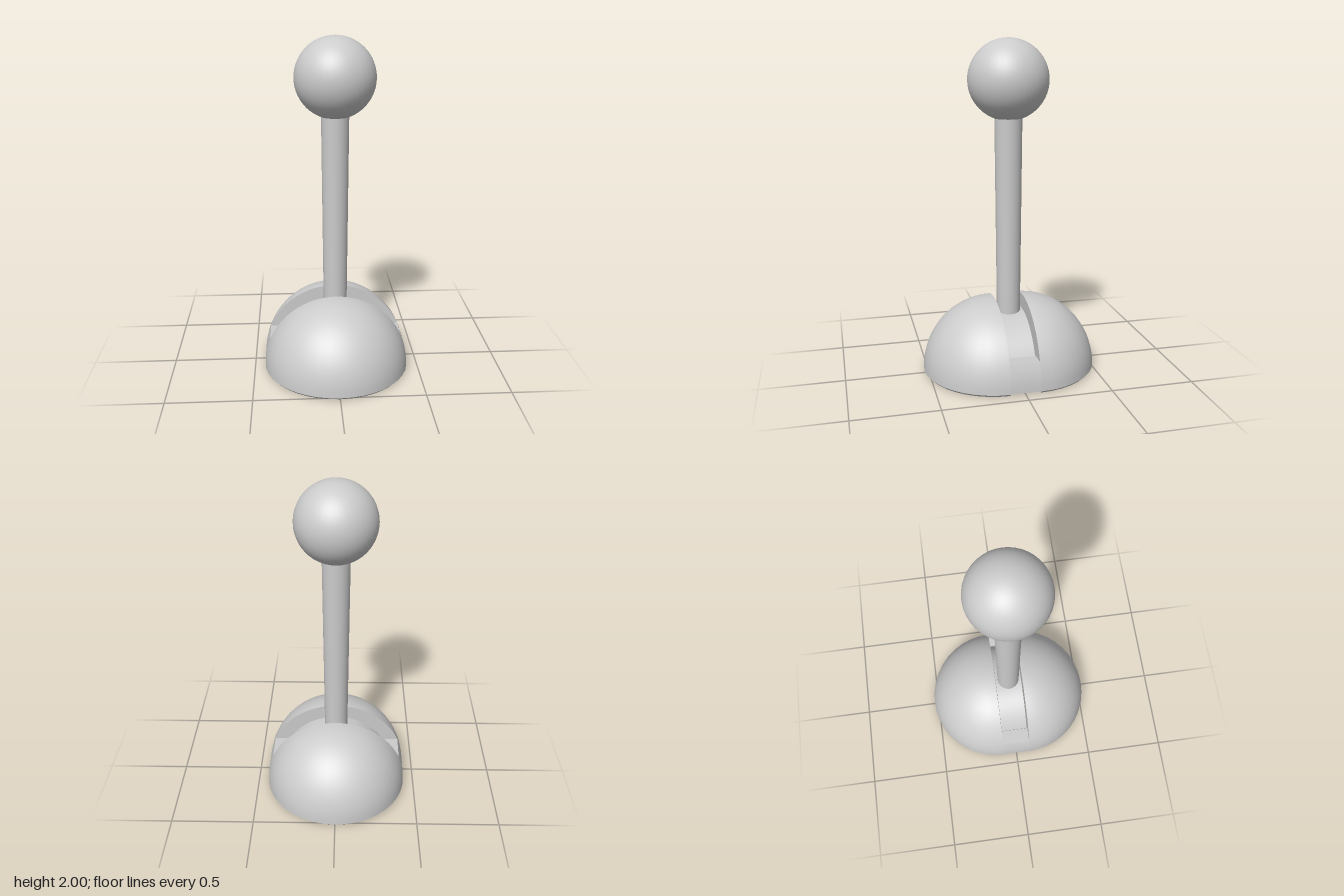
import * as THREE from 'three';
import { toCreasedNormals } from 'three/addons/utils/BufferGeometryUtils.js';

const OUT = 0.437, INN = 0.33, CY = 0.013, GAP = 0.09, SLOT_END = 0.18;

export function createModel() {
  const group = new THREE.Group();
  const mat = new THREE.MeshStandardMaterial({ color: 0xcccccc });
  const matDouble = new THREE.MeshStandardMaterial({ color: 0xcccccc, side: THREE.DoubleSide });

  const add = (name, geometry, parent = group, material = mat) => {
    const mesh = new THREE.Mesh(geometry, material);
    mesh.name = name;
    parent.add(mesh);
    return mesh;
  };

  // Point on an arc around the dome centre
  const onArc = (r, a) => new THREE.Vector2(r * Math.cos(a), CY + r * Math.sin(a));
  const arc = (r, a0, a1, n) =>
    Array.from({ length: n + 1 }, (_, i) => onArc(r, a0 + ((a1 - a0) * i) / n));
  const angleAt = (r, y) => Math.asin((y - CY) / r);
  const extrude = (points, depth) => {
    const g = new THREE.ExtrudeGeometry(new THREE.Shape(points), { depth, bevelEnabled: false });
    g.translate(0, 0, -depth / 2);
    return toCreasedNormals(g, 0.6);
  };

  // Two thick half domes, front and back, with flat walls facing the slot
  const section = [
    ...arc(INN, Math.PI / 2, 0, 16),
    new THREE.Vector2(INN, 0.004),
    new THREE.Vector2(OUT - 0.012, 0),
    ...arc(OUT, 0, Math.PI / 2, 20),
  ];
  section.forEach((p) => { if (p.x < 1e-6) p.x = 0; });
  const domeGeometry = toCreasedNormals(
    new THREE.LatheGeometry(section, 20, -Math.PI / 2, Math.PI), 0.6);
  const wallOutline = [
    ...section,
    ...section.slice(0, -1).reverse().map((p) => new THREE.Vector2(-p.x, p.y)),
  ];
  const wallGeometry = new THREE.ShapeGeometry(new THREE.Shape(wallOutline.slice(0, -1)));
  for (const [name, turn] of [['front', 0], ['back', Math.PI]]) {
    const half = new THREE.Group();
    half.name = name + 'HalfDome';
    half.rotation.y = turn;
    half.position.z = turn ? -GAP : GAP;
    add(name + 'DomeShell', domeGeometry, half);
    add(name + 'SlotWall', wallGeometry, half, matDouble);
    group.add(half);
  }

  // Blocks that close the slot low on each side
  const blockInner = 0.355;
  const block = extrude([
    ...arc(OUT, 0.004, angleAt(OUT, SLOT_END), 6),
    ...arc(blockInner, angleAt(blockInner, SLOT_END), 0.004, 6),
  ], GAP * 2);
  add('leftSlotBlock', block);
  add('rightSlotBlock', block).rotation.y = Math.PI;

  // Curved slider under the slot
  const end = angleAt(0.35, SLOT_END - 0.005);
  add('slider', extrude([
    ...arc(0.35, end, Math.PI - end, 28),
    ...arc(0.325, Math.PI - end, end, 28),
  ], 0.172));

  // Tapered lever with a softened lower end
  const leverProfile = [[0, 0.05], [0.045, 0.05], [0.06, 0.058], [0.067, 0.075],
    [0.072, 0.45], [0.082, 1.55], [0.082, 1.6]].map(([x, y]) => new THREE.Vector2(x, y));
  add('lever', new THREE.LatheGeometry(leverProfile, 32));

  // Round knob
  add('knob', new THREE.SphereGeometry(0.2375, 40, 28)).position.y = 1.7625;

  return group;
}
